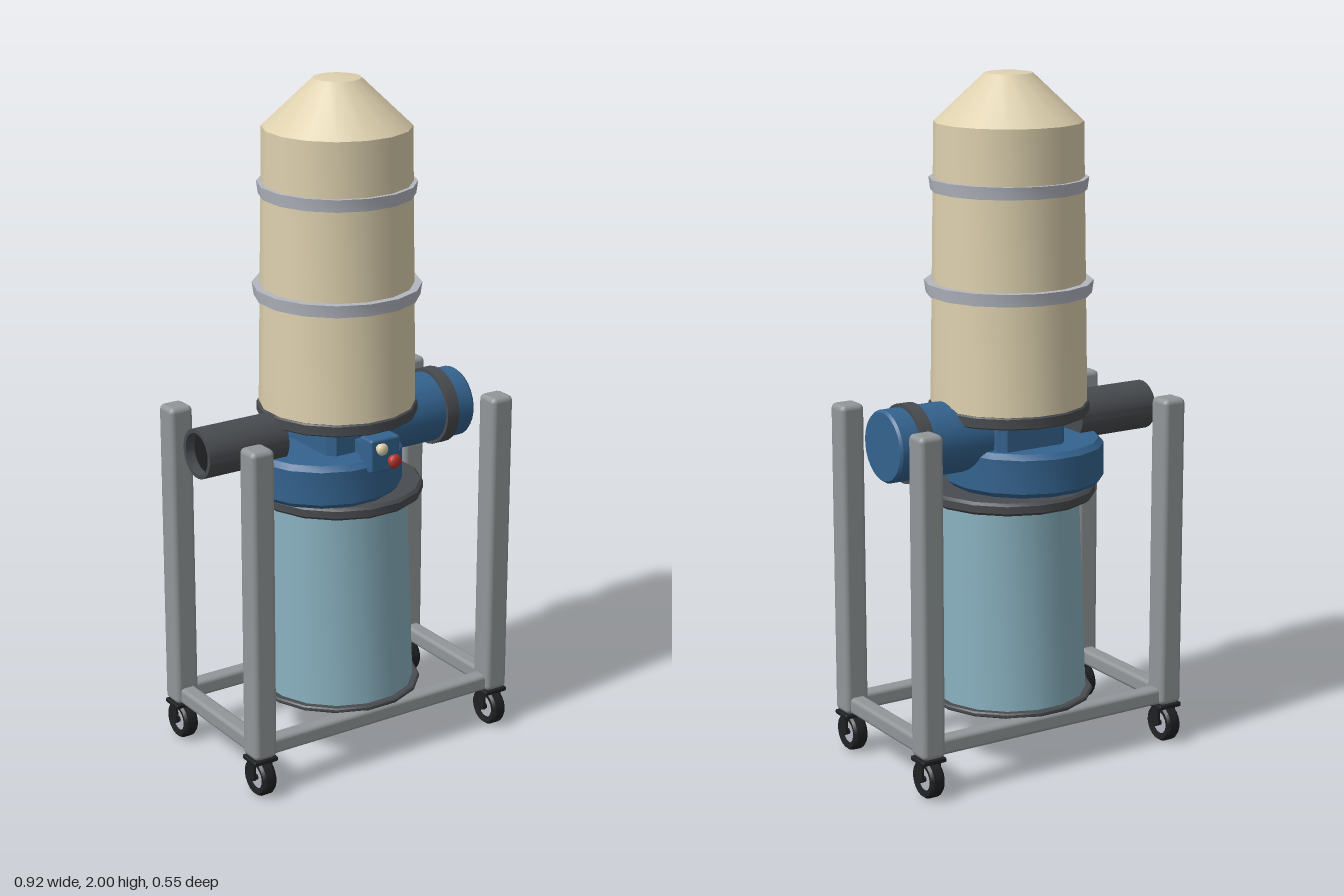
import * as THREE from 'three';
import { RoundedBoxGeometry } from 'three/addons/geometries/RoundedBoxGeometry.js';
import { toCreasedNormals } from 'three/addons/utils/BufferGeometryUtils.js';

const mat = (name, color) => {
  const m = new THREE.MeshStandardMaterial({ color });
  m.name = name;
  return m;
};

export function createModel() {
  const root = new THREE.Group();
  const cream = mat('cream cloth', 0xddd0ae);
  const paleBlue = mat('pale blue bin', 0x88b0be);
  const blue = mat('blue paint', 0x34638f);
  const charcoal = mat('charcoal rubber', 0x484b4f);
  const grey = mat('grey steel', 0x929698);
  const silver = mat('silver clamp', 0xb3b7c0);
  const black = mat('black tyre', 0x1f2022);
  const red = mat('red button', 0xb5302a);
  const cx = 0.01; // axis of the drum stack

  function add(name, geo, material, x = 0, y = 0, z = 0, parent = root) {
    const mesh = new THREE.Mesh(geo, material);
    mesh.name = name;
    mesh.position.set(x, y, z);
    parent.add(mesh);
    return mesh;
  }
  // Turned part from [radius, height] points; flats face the four sides
  function turned(points, sides = 16, crease = 0.5) {
    const k = 1 / Math.cos(Math.PI / sides);
    const pts = points.map(([r, y]) => new THREE.Vector2(r * k, y));
    const geo = new THREE.LatheGeometry(pts, sides, Math.PI / sides);
    return toCreasedNormals(geo, crease);
  }
  const disc = (r, y0, y1, b = 0.004) => turned([
    [0, y0], [r - b, y0], [r, y0 + b], [r, y1 - b], [r - b, y1], [0, y1]]);

  // Lower collection bin with its base and top rim
  add('binBase', disc(0.243, 0.17, 0.185), charcoal, cx);
  add('bin', turned([[0, 0.18], [0.223, 0.18], [0.2, 0.79], [0, 0.79]]), paleBlue, cx);
  add('binRim', disc(0.247, 0.775, 0.812, 0.008), charcoal, cx);

  // Fan housing, offset from the drum axis
  add('fanHousing', disc(0.228, 0.812, 0.94, 0.015), blue, -0.042);

  // Chamfered neck between housing and filter
  const neck = new THREE.Shape();
  const nw = 0.115, nd = 0.137, c = 0.022;
  [[-nw + c, -nd], [nw - c, -nd], [nw, -nd + c], [nw, nd - c],
    [nw - c, nd], [-nw + c, nd], [-nw, nd - c], [-nw, -nd + c]]
    .forEach(([x, y], i) => (i ? neck.lineTo(x, y) : neck.moveTo(x, y)));
  const neckGeo = new THREE.ExtrudeGeometry(neck, { depth: 0.1, bevelEnabled: false });
  neckGeo.rotateX(-Math.PI / 2);
  add('neck', neckGeo, blue, cx, 0.93, 0);

  // Filter bag with collar, conical top and clamps
  add('filterCollar', disc(0.228, 1.02, 1.055), charcoal, cx);
  add('filterBag', turned([[0.222, 1.05], [0.208, 1.86], [0.067, 1.995], [0.03, 2], [0, 2]]), cream, cx);
  for (const [y, r] of [[1.39, 0.238], [1.685, 0.223]]) {
    add('bagClamp', turned([
      [r - 0.03, y - 0.018], [r - 0.005, y - 0.018], [r, y + 0.018], [r - 0.03, y + 0.018]]), silver, cx);
  }

  // Motor on the left side, lying along x
  const motor = new THREE.Group();
  motor.name = 'motor';
  motor.position.set(0.12, 0.973, 0);
  motor.rotation.z = -Math.PI / 2;
  root.add(motor);
  add('motorBody', turned([[0, 0], [0.104, 0], [0.104, 0.303], [0.098, 0.311], [0, 0.311]], 28),
    blue, 0, 0, 0, motor);
  add('motorBand', turned([[0.1, 0.206], [0.114, 0.206], [0.114, 0.247], [0.1, 0.247]], 28),
    charcoal, 0, 0, 0, motor);

  // Hollow inlet pipe on the right side
  const pipe = new THREE.Group();
  pipe.name = 'inletPipe';
  pipe.position.set(-0.2, 0.983, 0);
  pipe.rotation.z = Math.PI / 2;
  root.add(pipe);
  add('pipeWall', turned([[0, 0], [0.072, 0], [0.072, 0.262], [0.06, 0.262], [0.06, 0.23]], 24),
    charcoal, 0, 0, 0, pipe);
  add('pipeMouth', new THREE.CylinderGeometry(0.062, 0.062, 0.005, 24), black, 0, 0.231, 0, pipe);

  // Switch box with two buttons
  add('switchBox', new RoundedBoxGeometry(0.1, 0.1, 0.06, 2, 0.008), blue, cx, 0.96, 0.218);
  add('switchBracket', new THREE.BoxGeometry(0.06, 0.05, 0.1), blue, cx, 0.955, 0.15);
  for (const [name, x, y, r, m] of [
    ['startButton', -0.012, 0.985, 0.018, cream], ['stopButton', 0.031, 0.941, 0.021, red]]) {
    const b = add(name, new THREE.SphereGeometry(r, 16, 10), m, x, y, 0.263);
    b.scale.z = 0.65;
    const stem = add(name + 'Stem', new THREE.CylinderGeometry(r * 0.7, r * 0.7, 0.02, 12), m, x, y, 0.251);
    stem.rotation.x = Math.PI / 2;
  }

  // Frame rails
  const midX = 0.01, halfX = 0.41, halfZ = 0.22;
  for (const s of [-1, 1]) {
    add('longRail', new RoundedBoxGeometry(2 * halfX, 0.05, 0.05, 2, 0.012), grey, midX, 0.147, s * halfZ);
    add('crossRail', new RoundedBoxGeometry(0.05, 0.05, 2 * halfZ, 2, 0.012), grey, midX + s * halfX, 0.147, 0);
  }

  // Corner posts, each on a caster
  for (const sx of [-1, 1]) for (const sz of [-1, 1]) {
    const x = midX + sx * halfX, z = sz * halfZ;
    add('post', new RoundedBoxGeometry(0.075, 0.935, 0.075, 2, 0.016), grey, x, 0.5875, z);
    const caster = new THREE.Group();
    caster.name = 'caster';
    caster.position.set(x, 0, z);
    root.add(caster);
    add('casterPlate', new RoundedBoxGeometry(0.078, 0.014, 0.07, 1, 0.004), black, 0, 0.113, 0, caster);
    for (const s of [-1, 1]) {
      add('casterFork', new THREE.BoxGeometry(0.007, 0.06, 0.03), black, s * 0.028, 0.083, 0, caster);
    }
    // Tyre ring with a recessed hub
    const tyre = add('tyre', turned([
      [0.034, -0.018], [0.05, -0.022], [0.056, -0.014], [0.056, 0.014],
      [0.05, 0.022], [0.034, 0.018], [0.034, -0.018]], 20), black, 0, 0.056, 0, caster);
    tyre.rotation.z = Math.PI / 2;
    const hub = add('hub', new THREE.CylinderGeometry(0.036, 0.036, 0.026, 20), silver, 0, 0.056, 0, caster);
    hub.rotation.z = Math.PI / 2;
    const axle = add('axle', new THREE.CylinderGeometry(0.009, 0.009, 0.066, 10), black, 0, 0.056, 0, caster);
    axle.rotation.z = Math.PI / 2;
  }
  return root;
}
